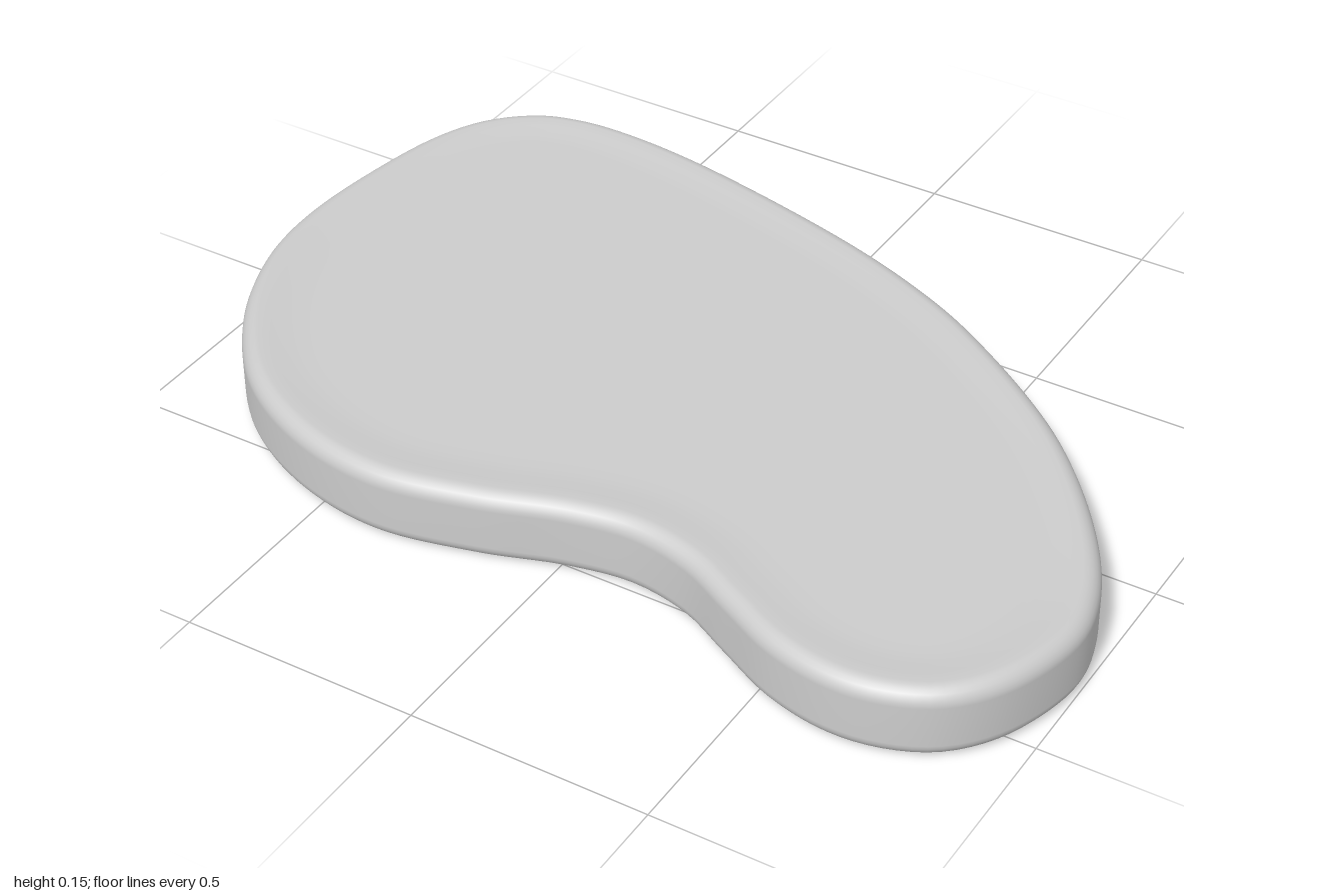
import * as THREE from 'three';

// Outline seen from above as [x, z], clockwise from the back left
const OUTLINE = [
  [-0.6, -0.68], [-0.4, -0.66], [0, -0.567], [0.22, -0.49], [0.4, -0.4], [0.7, -0.18], [0.9, 0.06],
  [0.98, 0.22], [0.998, 0.34], [0.95, 0.51], [0.87, 0.61], [0.77, 0.658], [0.66, 0.67],
  [0.53, 0.643], [0.4, 0.58], [0.28, 0.52], [0.15, 0.495], [0.02, 0.515], [-0.15, 0.57],
  [-0.36, 0.61], [-0.56, 0.575], [-0.75, 0.47], [-0.9, 0.29], [-0.98, 0.1], [-1, -0.05],
  [-0.985, -0.25], [-0.94, -0.46], [-0.88, -0.57], [-0.79, -0.645], [-0.7, -0.673],
];

// Edge section as [inset, y]: flat base, rounded edges, shallow dish on top
function edgeSection() {
  const section = [[0.12, 0.006], [0.08, 0.006]];
  const arc = (y, r, from) => {
    for (let i = 0; i <= 6; i++) {
      const a = from + (i / 6) * Math.PI / 2;
      section.push([r - r * Math.cos(a), y + r * Math.sin(a)]);
    }
  };
  arc(0.033, 0.03, -Math.PI / 2);
  arc(0.12, 0.035, 0);
  section.push([0.06, 0.153], [0.09, 0.149], [0.12, 0.148], [0.14, 0.148]);
  return section;
}

function slabGeometry(count) {
  const curve = new THREE.CatmullRomCurve3(OUTLINE.map(([x, z]) => new THREE.Vector3(x, 0, z)), true, 'centripetal');
  const section = edgeSection();
  const positions = [], index = [];

  // Each ring is the outline moved inward along its normal
  for (const [inset, y] of section) {
    for (let i = 0; i < count; i++) {
      const p = curve.getPointAt(i / count), t = curve.getTangentAt(i / count);
      positions.push(p.x - t.z * inset, y, p.z + t.x * inset);
    }
  }
  for (let j = 0; j < section.length - 1; j++) {
    for (let i = 0; i < count; i++) {
      const a = j * count + i, b = j * count + (i + 1) % count;
      index.push(a, a + count, b, b, a + count, b + count);
    }
  }

  // Flat caps closing the first and last ring
  const cap = (ring, up) => {
    const pts = [];
    for (let i = 0; i < count; i++) {
      const k = (ring * count + i) * 3;
      pts.push(new THREE.Vector2(positions[k], positions[k + 2]));
    }
    for (const [a, b, c] of THREE.ShapeUtils.triangulateShape(pts, [])) {
      const facesDown = THREE.ShapeUtils.area([pts[a], pts[b], pts[c]]) > 0;
      const tri = facesDown === up ? [a, c, b] : [a, b, c];
      index.push(...tri.map((v) => v + ring * count));
    }
  };
  cap(0, false);
  cap(section.length - 1, true);

  const geometry = new THREE.BufferGeometry();
  geometry.setAttribute('position', new THREE.Float32BufferAttribute(positions, 3));
  geometry.setIndex(index);
  geometry.computeVertexNormals();
  return geometry;
}

export function createModel() {
  const group = new THREE.Group();
  group.name = 'kidneyShapedSlab';
  const slab = new THREE.Mesh(slabGeometry(200), new THREE.MeshStandardMaterial({ color: 0xcccccc }));
  slab.name = 'slab';
  group.add(slab);
  return group;
}
